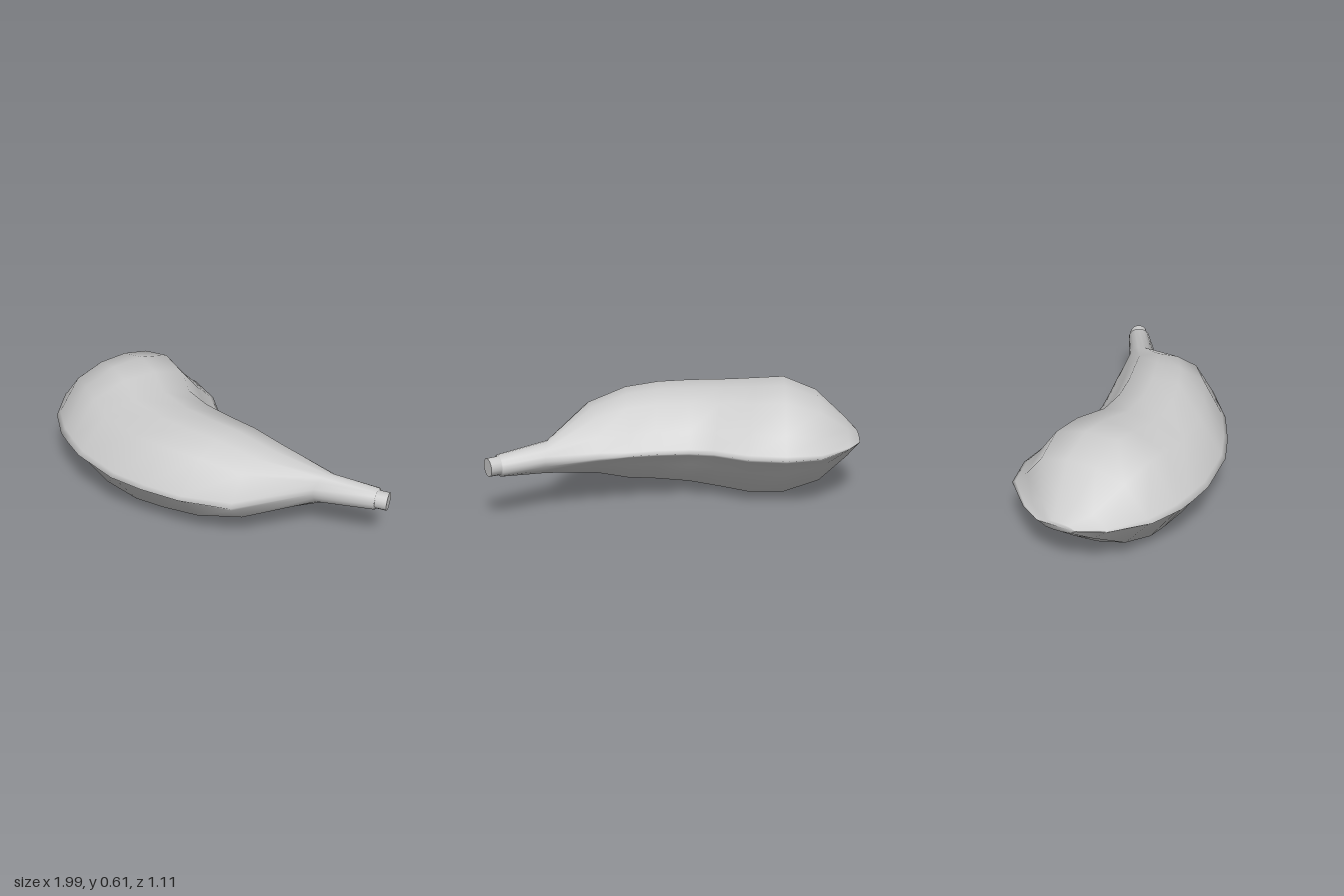
import * as THREE from 'three';

const MID = 0.307; // height of the ridge running round the body

// Stations from neck to rounded end:
// front ridge x, z, back ridge x, z, top y, bottom y, roundness
const STATIONS = [
  [0.945, -0.43, 0.885, -0.54, 0.365, 0.25, 1],
  [0.68, -0.24, 0.68, -0.43, 0.39, 0.22, 0.8],
  [0.52, 0.19, 0.40, -0.375, 0.515, 0.16, 0.2],
  [0.30, 0.36, 0.25, -0.34, 0.566, 0.10, 0],
  [0.10, 0.46, 0.10, -0.31, 0.576, 0.073, 0],
  [-0.08, 0.525, -0.07, -0.295, 0.573, 0.045, 0],
  [-0.36, 0.55, -0.20, -0.31, 0.575, 0.012, 0],
  [-0.50, 0.53, -0.38, -0.395, 0.596, 0.002, 0],
  [-0.60, 0.51, -0.58, -0.42, 0.61, 0.018, 0],
  [-0.77, 0.43, -0.77, -0.38, 0.545, 0.09, 0],
  [-0.93, 0.27, -0.93, -0.22, 0.40, 0.22, 0],
  [-1.0, 0.12, -1.0, -0.10, 0.33, 0.28, 0],
];

// Half-section from front ridge to back ridge: across, height
const ARCH = [
  [1, 0], [0.94, 0.07], [0.62, 0.79], [0.22, 1], [-0.18, 1],
  [-0.55, 0.84], [-0.77, 0.36], [-0.95, 0.06], [-1, 0],
];
// Closed section, front -> top -> back -> bottom
const SECTION = [...ARCH, ...ARCH.slice(1, -1).reverse().map(([u, v]) => [u, -v])];

function bodyGeometry() {
  const n = SECTION.length;
  const positions = [];
  const index = [];
  for (const [fx, fz, bx, bz, top, bottom, round] of STATIONS) {
    SECTION.forEach(([su, sv], j) => {
      const a = (j / n) * Math.PI * 2;
      const u = THREE.MathUtils.lerp(su, Math.cos(a), round);
      const v = THREE.MathUtils.lerp(sv, Math.sin(a), round);
      const t = (1 - u) / 2;
      positions.push(
        THREE.MathUtils.lerp(fx, bx, t),
        MID + (v > 0 ? v * (top - MID) : v * (MID - bottom)),
        THREE.MathUtils.lerp(fz, bz, t),
      );
    });
  }
  // Skin between neighbouring sections
  for (let i = 0; i < STATIONS.length - 1; i++) {
    for (let j = 0; j < n; j++) {
      const k = (j + 1) % n;
      const a = i * n + j, b = i * n + k, c = a + n, d = b + n;
      index.push(a, b, c, b, d, c);
    }
  }
  // Caps at the neck and the rounded end
  const last = (STATIONS.length - 1) * n;
  for (let j = 1; j < n - 1; j++) {
    index.push(0, j + 1, j);
    index.push(last, last + j, last + j + 1);
  }
  const geometry = new THREE.BufferGeometry();
  geometry.setAttribute('position', new THREE.Float32BufferAttribute(positions, 3));
  geometry.setIndex(index);
  geometry.computeVertexNormals();
  return geometry;
}

export function createModel() {
  const group = new THREE.Group();
  const material = new THREE.MeshStandardMaterial({ color: 0xcccccc });

  // Curved, pouch-shaped body tapering into the neck
  const body = new THREE.Mesh(bodyGeometry(), material);
  body.name = 'body';
  group.add(body);

  // Short round tube at the neck end
  const from = new THREE.Vector3(0.86, 0.307, -0.448);
  const to = new THREE.Vector3(0.968, 0.307, -0.515);
  const axis = to.clone().sub(from);
  const tube = new THREE.Mesh(new THREE.CylinderGeometry(0.049, 0.049, axis.length(), 16), material);
  tube.position.copy(from).add(to).multiplyScalar(0.5);
  tube.quaternion.setFromUnitVectors(new THREE.Vector3(0, 1, 0), axis.normalize());
  tube.name = 'neckTube';
  group.add(tube);

  return group;
}
